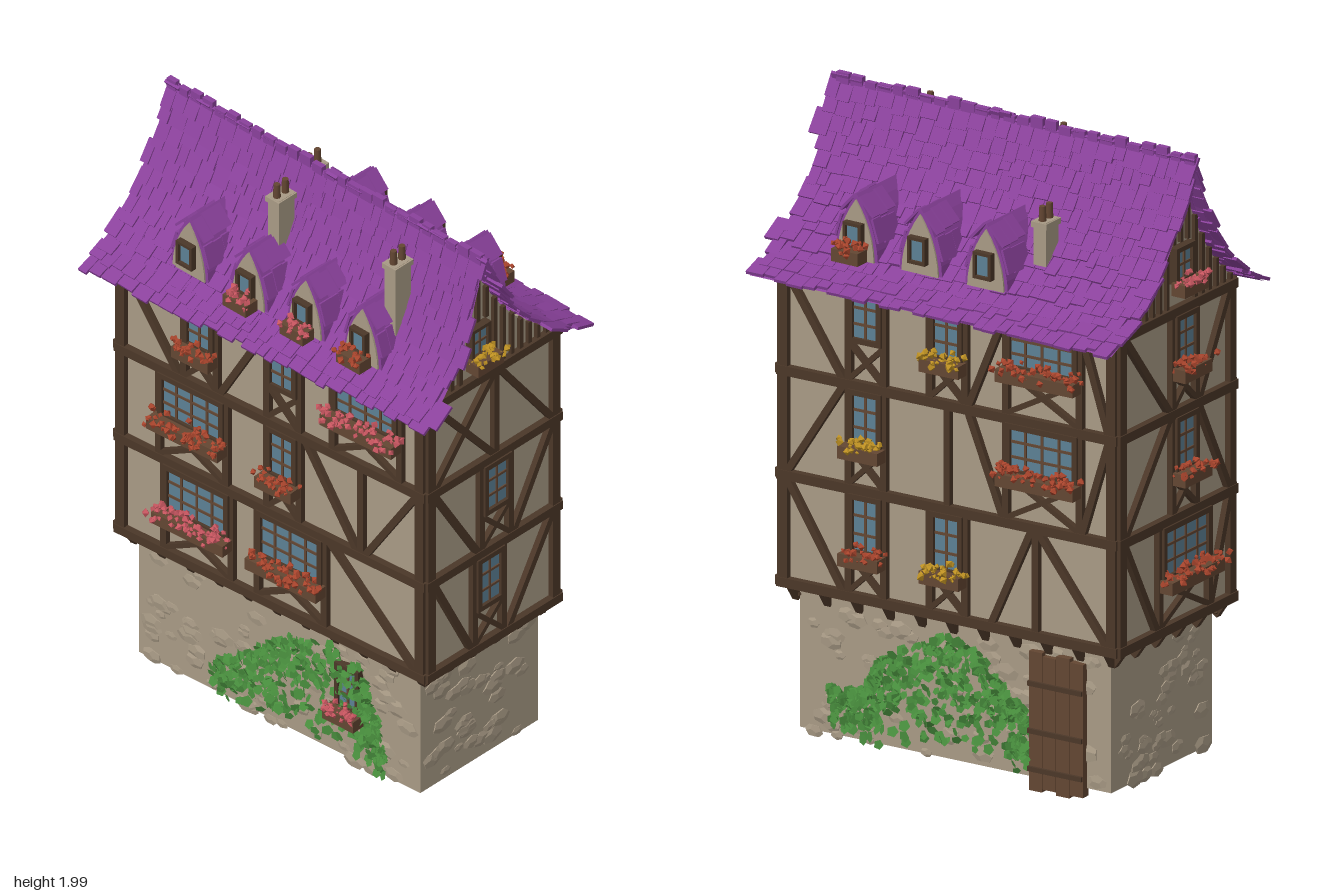
import * as THREE from 'three';
import { mergeGeometries } from 'three/addons/utils/BufferGeometryUtils.js';

export function createModel() {
  const model = new THREE.Group();
  let seed = 7;
  const rnd = (a = 0, b = 1) => {
    seed = (seed * 16807) % 2147483647;
    return a + (b - a) * (seed / 2147483647);
  };
  const lerp = THREE.MathUtils.lerp;

  const colours = {
    plaster: 0xa89a85, timber: 0x4b3728, woodwork: 0x634632, glass: 0x5c8094, shingle: 0x8a419b,
    ivy: 0x478c3c, redFlower: 0xa8442c, pinkFlower: 0xc6555f, yellowFlower: 0xbd9022,
  };
  const mats = {};
  for (const [name, color] of Object.entries(colours)) {
    mats[name] = new THREE.MeshStandardMaterial({ color });
    mats[name].name = name;
  }
  for (const n of ['plaster', 'shingle', 'ivy']) mats[n].side = THREE.DoubleSide;

  // A part group gathers geometries by colour and merges each colour into one mesh
  class Part {
    constructor(name) {
      this.bags = {};
      this.group = new THREE.Group();
      this.group.name = name;
      model.add(this.group);
    }
    add(mat, geo) { (this.bags[mat] ??= []).push(geo.index ? geo.toNonIndexed() : geo); return geo; }
    box(mat, w, h, d, x, y, z) { return this.add(mat, new THREE.BoxGeometry(w, h, d).translate(x, y, z)); }
    beam(x1, y1, x2, y2, w = 0.022, mat = 'timber', z = 0.004, d = 0.03) {
      const len = Math.hypot(x2 - x1, y2 - y1);
      this.add(mat, new THREE.BoxGeometry(len, w, d).rotateZ(Math.atan2(y2 - y1, x2 - x1))
        .translate((x1 + x2) / 2, (y1 + y2) / 2, z));
    }
    finish() {
      for (const [mat, list] of Object.entries(this.bags)) {
        const mesh = new THREE.Mesh(mergeGeometries(list), mats[mat]);
        mesh.name = this.group.name + ' ' + mat;
        this.group.add(mesh);
      }
    }
    // Stands the part's local xy plane on the line from a to b (left to right, seen from outside)
    place(a, b) {
      this.length = Math.hypot(b[0] - a[0], b[1] - a[1]);
      this.group.position.set((a[0] + b[0]) / 2, 0, (a[1] + b[1]) / 2);
      this.group.rotation.y = Math.atan2(a[1] - b[1], b[0] - a[0]);
      return this;
    }
  }

  function flowerBox(p, u, y, w, flower) {
    p.box('woodwork', w, 0.04, 0.05, u, y - 0.022, 0.04);
    for (let i = 0; i < w * 230; i++) {
      p.add(flower, new THREE.OctahedronGeometry(rnd(0.008, 0.015)).rotateX(rnd(0, 3)).rotateZ(rnd(0, 3))
        .translate(u + rnd(-0.53, 0.53) * w, y + rnd(-0.016, 0.024), rnd(0.02, 0.085)));
    }
  }

  // Window with frame, glazing bars and optional flower box
  function windowAt(p, u, y0, w, h, cols, rows, flower) {
    p.box('glass', w, h, 0.008, u, y0 + h / 2, 0.012);
    const f = Math.min(0.018, w * 0.17);
    for (const s of [-1, 1]) {
      p.box('timber', f, h + f, 0.03, u + s * w / 2, y0 + h / 2, 0.012);
      p.box('timber', w + f, f, 0.03, u, y0 + h / 2 + s * h / 2, 0.012);
    }
    for (let i = 1; i < cols; i++) p.box('woodwork', 0.008, h, 0.014, u + w * (i / cols - 0.5), y0 + h / 2, 0.013);
    for (let i = 1; i < rows; i++) p.box('woodwork', w, 0.008, 0.014, u, y0 + h * i / rows, 0.013);
    if (flower) flowerBox(p, u, y0 + 0.005, w + 0.04, flower);
  }

  const floors = [0.51, 0.85, 1.18, 1.5];

  // Window bay: posts, window and a crossed panel beneath it
  function bay(p, floor, u, wide, flower) {
    const y = floors[floor], top = floors[floor + 1], w = wide ? 0.235 : 0.1, y0 = y + (wide ? 0.165 : 0.145);
    for (const s of [-1, 1]) {
      const e = w / 2 + 0.012;
      p.beam(u + s * e, y, u + s * e, top);
      p.beam(u - s * e, y + 0.015, u + s * e, y0 - 0.01, 0.016);
    }
    windowAt(p, u, y0, w, top - y0 - 0.02, wide ? 4 : 2, 3, flower);
  }
  // Diagonal brace: dir 1 rises to the right
  const brace = (p, floor, u1, u2, dir) => {
    const [a, b] = [floors[floor], floors[floor + 1]];
    p.beam(u1, dir > 0 ? a : b, u2, dir > 0 ? b : a);
  };
  const post = (p, floor, u) => p.beam(u, floors[floor], u, floors[floor + 1]);

  // Slightly skewed floor plans, counted front left to right, then back right to left
  const upper = [[-0.24, 0.585], [0.315, 0.585], [0.27, -0.585], [-0.325, -0.585]];
  const lower = [[-0.22, 0.545], [0.285, 0.545], [0.24, -0.545], [-0.29, -0.545]];
  const sides = ['front', 'right', 'back', 'left'];

  const body = new Part('upperWalls');
  body.add('plaster', new THREE.ExtrudeGeometry(new THREE.Shape(upper.map(([x, z]) => new THREE.Vector2(x, -z))),
    { depth: 1.0, bevelEnabled: false }).rotateX(-Math.PI / 2).translate(0, 0.5, 0));
  body.finish();

  // Timber frames with corner posts, floor beams and jetty brackets
  const frame = {}, base = {};
  sides.forEach((name, i) => {
    const p = frame[name] = new Part(name + 'TimberFrame').place(upper[i], upper[(i + 1) % 4]);
    const h = p.length / 2;
    for (const s of [-1, 1]) p.beam(s * (h - 0.01), 0.5, s * (h - 0.01), 1.5, 0.032);
    for (const y of floors) p.beam(-h - 0.012, y, h + 0.012, y, 0.03, 'timber', 0.004, 0.036);
    const n = Math.round(p.length / 0.115);
    for (let k = 0; k <= n; k++) {
      p.add('timber', new THREE.BoxGeometry(0.022, 0.065, 0.03).rotateX(0.6)
        .translate(lerp(-h + 0.03, h - 0.03, k / n), 0.482, -0.015));
    }
    // Rubble stone ground floor, open below
    const b = base[name] = new Part(name + 'StoneBase').place(lower[i], lower[(i + 1) % 4]);
    b.add('plaster', new THREE.PlaneGeometry(b.length, 0.46).translate(0, 0.275, 0));
    for (let k = 0; k < b.length * 75; k++) {
      const r = rnd(0.018, 0.04);
      b.add('plaster', new THREE.DodecahedronGeometry(r).rotateZ(rnd(0, 3)).scale(1.2, 0.8, 0.2)
        .translate(rnd(-1, 1) * (b.length / 2 - 0.045), rnd(0.04, 0.45), 0));
    }
  });

  // Front framing
  let p = frame.front;
  brace(p, 2, -0.26, 0.01, 1); brace(p, 2, -0.26, 0.01, -1); post(p, 2, 0.01); brace(p, 2, 0.02, 0.26, -1);
  bay(p, 1, 0.01, false); brace(p, 1, -0.26, -0.06, -1); brace(p, 1, 0.08, 0.26, 1);
  bay(p, 0, -0.02, false); brace(p, 0, -0.26, -0.09, -1); brace(p, 0, 0.06, 0.26, 1);

  // Right framing
  p = frame.right;
  bay(p, 2, -0.285, false); bay(p, 2, 0, false, 'yellowFlower'); bay(p, 2, 0.335, true, 'redFlower');
  brace(p, 2, -0.57, -0.36, -1); brace(p, 2, 0.07, 0.2, 1); brace(p, 2, 0.47, 0.57, -1);
  bay(p, 1, -0.285, false, 'yellowFlower'); bay(p, 1, 0.335, true, 'redFlower');
  post(p, 1, 0); brace(p, 1, -0.57, -0.36, 1); brace(p, 1, 0.07, 0.2, -1); brace(p, 1, 0.47, 0.57, 1);
  bay(p, 0, -0.285, false, 'redFlower'); bay(p, 0, 0, false, 'yellowFlower');
  brace(p, 0, -0.57, -0.36, -1); post(p, 0, 0.31); brace(p, 0, 0.15, 0.3, 1); brace(p, 0, 0.31, 0.57, -1);

  // Back framing
  p = frame.back;
  bay(p, 2, 0.04, false, 'redFlower'); brace(p, 2, -0.28, -0.03, -1); brace(p, 2, 0.11, 0.28, 1);
  bay(p, 1, 0.04, false, 'redFlower'); brace(p, 1, -0.28, -0.03, 1); brace(p, 1, 0.11, 0.28, -1);
  bay(p, 0, 0.04, true, 'redFlower'); brace(p, 0, -0.28, -0.1, -1); brace(p, 0, 0.17, 0.28, 1);

  // Left framing
  p = frame.left;
  bay(p, 2, -0.27, false, 'redFlower'); bay(p, 2, 0.05, false); bay(p, 2, 0.37, true, 'pinkFlower');
  brace(p, 2, -0.57, -0.35, -1); brace(p, 2, -0.2, -0.02, 1);
  bay(p, 1, -0.3, true, 'redFlower'); bay(p, 1, 0.05, false, 'redFlower');
  brace(p, 1, 0.13, 0.34, -1); post(p, 1, 0.35); brace(p, 1, 0.36, 0.57, 1);
  bay(p, 0, -0.28, true, 'pinkFlower'); bay(p, 0, 0.08, true, 'redFlower'); brace(p, 0, 0.22, 0.57, -1);

  // Plank door with iron-like bands
  for (let k = 0; k < 4; k++) base.right.box('woodwork', 0.046, 0.44 - 0.02 * (k % 2), 0.03, 0.294 + k * 0.048, 0.23, 0.008);
  for (const y of [0.08, 0.2, 0.35]) base.right.box('timber', 0.19, 0.015, 0.012, 0.365, y, 0.026);

  // Ground floor window
  windowAt(base.left, 0.28, 0.24, 0.08, 0.15, 2, 3, 'pinkFlower');

  // Ivy beneath an outline of [u, height]
  function ivy(b, outline, count) {
    for (let k = 0; k < count; k++) {
      const t = rnd(0, outline.length - 1), i = Math.floor(t);
      const u = lerp(outline[i][0], outline[i + 1][0], t - i);
      const top = lerp(outline[i][1], outline[i + 1][1], t - i);
      b.add('ivy', new THREE.CircleGeometry(rnd(0.012, 0.02), 5).rotateX(rnd(-0.8, 0.5)).rotateY(rnd(-0.7, 0.7))
        .translate(u, lerp(0.05, top, Math.sqrt(rnd())), rnd(0.012, 0.032)));
    }
  }
  ivy(base.right, [[-0.43, 0.2], [-0.3, 0.22], [-0.25, 0.33], [-0.1, 0.4], [0, 0.45], [0.1, 0.4], [0.2, 0.3], [0.27, 0.24]], 620);
  ivy(base.left, [[-0.25, 0.16], [-0.1, 0.28], [0.05, 0.4], [0.2, 0.46], [0.34, 0.4], [0.42, 0.15]], 450);

  // Sweeping roof profile: [share of the half width, height]
  const profile = [[0, 1.975], [0.116, 1.865], [0.22, 1.785], [0.326, 1.715], [0.45, 1.65], [0.58, 1.6], [0.75, 1.545], [1, 1.495]];
  const ridgeX = -0.055;
  const eave = (side, z) => side > 0 ? lerp(0.385, 0.405, z / 1.32 + 0.5) : lerp(-0.42, -0.3, z / 1.32 + 0.5);
  const roofX = (side, f, z) => ridgeX + f * (eave(side, z) - ridgeX);
  const roofY = (f) => {
    const i = Math.max(1, profile.findIndex(([q]) => q >= Math.min(f, 1)));
    const [a, b] = [profile[i - 1], profile[i]];
    return lerp(a[1], b[1], (f - a[0]) / (b[0] - a[0]));
  };

  const roof = new Part('roof');
  const sheet = new THREE.PlaneGeometry(2, 1, 28, 4), pos = sheet.attributes.position;
  for (let i = 0; i < pos.count; i++) {
    const u = pos.getX(i), z = -pos.getY(i) * 1.29, f = Math.abs(u);
    pos.setXYZ(i, roofX(Math.sign(u) || 1, f, z), roofY(f) - 0.008, z);
  }
  sheet.computeVertexNormals();
  roof.add('shingle', sheet);

  // One shingle lying on the slope
  function shingle(side, f, z, w, len) {
    const d = 0.02, x = roofX(side, f, z), y = roofY(f);
    const T = new THREE.Vector3(roofX(side, f + d, z) - roofX(side, f - d, z), roofY(Math.min(1, f + d)) - roofY(Math.max(0, f - d)), 0).normalize();
    const N = new THREE.Vector3(-T.y * side, T.x * side, 0);
    const m = new THREE.Matrix4().makeBasis(new THREE.Vector3().crossVectors(T, N), T, N).setPosition(x, y, z);
    roof.add('shingle', new THREE.BoxGeometry(w, len, 0.01).rotateX(rnd(0.04, 0.14)).rotateZ(rnd(-0.03, 0.03)).applyMatrix4(m));
  }
  const curve = new THREE.CatmullRomCurve3(profile.map(([f, y]) => new THREE.Vector3(f * 0.45, y, 0)));
  for (const side of [-1, 1]) {
    for (let r = 0; r < 13; r++) {
      for (let z = -0.65 + rnd(-0.012, 0.012); z < 0.63;) {
        const w = rnd(0.03, 0.065);
        const f = curve.getPointAt(Math.min(0.97, (r + 0.6 + rnd(-0.22, 0.22)) / 13)).x / 0.45;
        shingle(side, f, z + w / 2, w - 0.002, rnd(0.06, 0.09));
        z += w;
      }
    }
  }
  for (let z = -0.63; z < 0.65; z += 0.05) roof.box('shingle', 0.018, 0.035, rnd(0.03, 0.05), ridgeX, 1.977 + rnd(-0.01, 0.005), z);
  roof.finish();

  // Gables with upright slats
  for (const [name, s, flower, wu, bw] of [['front', 1, 'yellowFlower', -0.063, 0.07], ['back', -1, 'pinkFlower', 0.03, 0.085]]) {
    p = frame[name];
    const cx = p.group.position.x, h = p.length / 2;
    const top = (u) => {
      const x = cx + s * u, side = x > ridgeX ? 1 : -1;
      return roofY((x - ridgeX) / (eave(side, s * 0.6) - ridgeX)) - 0.02;
    };
    const pts = [new THREE.Vector2(h, 1.5), new THREE.Vector2(-h, 1.5)];
    for (let i = 0; i <= 30; i++) { const u = lerp(-h, h, i / 30); pts.push(new THREE.Vector2(u, Math.max(1.501, top(u)))); }
    p.add('plaster', new THREE.ShapeGeometry(new THREE.Shape(pts.reverse())));
    for (let u = -h + 0.03; u < h; u += 0.037) {
      if (Math.abs(u - wu) > bw / 2 + 0.012) p.beam(u, 1.5, u, top(u), 0.014, 'timber', 0.004, 0.018);
      else p.beam(u, 1.71, u, Math.max(1.72, top(u)), 0.014, 'timber', 0.004, 0.018);
    }
    windowAt(p, wu, 1.595, bw, 0.1, 2, 2, flower);
  }
  for (const name of sides) { frame[name].finish(); base[name].finish(); }

  // Dormers with pointed curved roofs
  const arch = (w, y0, y1) => {
    const a = new THREE.Shape();
    a.moveTo(-w, y0); a.lineTo(w, y0);
    a.quadraticCurveTo(w * 0.95, lerp(y0, y1, 0.55), 0, y1);
    a.quadraticCurveTo(-w * 0.95, lerp(y0, y1, 0.55), -w, y0);
    return a;
  };
  const dormers = [[1, 0.35, 'redFlower'], [1, 0.12], [1, -0.115],
    [-1, 0.34, 'redFlower'], [-1, 0.12, 'pinkFlower'], [-1, -0.1, 'pinkFlower'], [-1, -0.33]];
  for (const [side, z, flower] of dormers) {
    const d = new Part('dormer'), x = roofX(side, 0.72, z), depth = Math.abs(x - roofX(side, 0.25, z));
    d.group.position.set(x, 0, z);
    d.group.rotation.y = side * Math.PI / 2;
    const block = (mat, shape, dep, z0) => d.add(mat, new THREE.ExtrudeGeometry(shape, { depth: dep, bevelEnabled: false, curveSegments: 6 }).translate(0, 0, z0));
    block('shingle', arch(0.077, 1.56, 1.765), depth, -depth);
    block('plaster', arch(0.066, 1.56, 1.748), 0.006, 0);
    for (const s of [-1, 1]) for (let k = 0; k < 3; k++) for (let r = 0; r < 2; r++) {
      d.add('shingle', new THREE.BoxGeometry(0.008, 0.075, 0.04).rotateZ(s * (r ? 0.3 : 0.75))
        .translate(s * (r ? 0.066 : 0.034), (r ? 1.65 : 1.73) + rnd(-0.008, 0.008), -0.02 - k * 0.038));
    }
    windowAt(d, 0, 1.6, 0.055, 0.075, 1, 1, flower);
    d.finish();
  }

  // Chimneys with a cap and two pots
  for (const [x, z, y0, y1] of [[0.145, -0.245, 1.58, 1.77], [-0.155, -0.09, 1.65, 1.9], [-0.155, 0.39, 1.65, 1.9]]) {
    const c = new Part('chimney');
    c.box('plaster', 0.066, y1 - y0, 0.046, x, (y0 + y1) / 2, z);
    c.box('plaster', 0.078, 0.018, 0.056, x, y1 - 0.01, z);
    for (const s of [-1, 1]) c.add('woodwork', new THREE.CylinderGeometry(0.01, 0.012, 0.05, 8).translate(x + s * 0.018, y1 + 0.022, z));
    c.finish();
  }
  return model;
}
